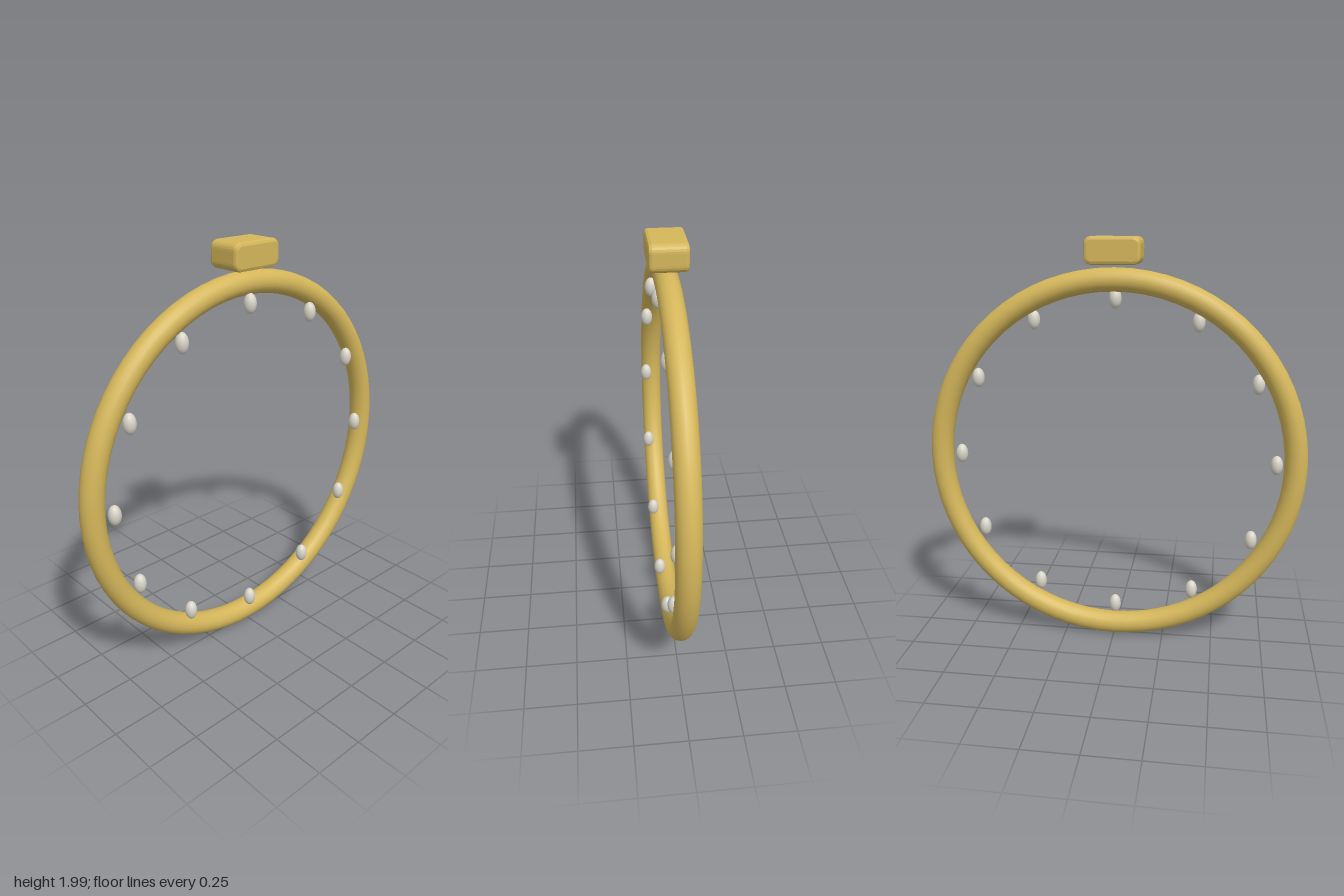
import * as THREE from 'three';

const gold = new THREE.MeshStandardMaterial({ color: 0xd4b65a });
gold.name = 'gold';
const pearl = new THREE.MeshStandardMaterial({ color: 0xd8d4c8 });
pearl.name = 'pearl';

const CENTRE_Y = 0.934;

function add(parent, name, geometry, material) {
  const mesh = new THREE.Mesh(geometry, material);
  mesh.name = name;
  parent.add(mesh);
  return mesh;
}

// Rounded rectangle centred on the origin
function roundedRect(w, h, r) {
  const x = w / 2, y = h / 2;
  const s = new THREE.Shape();
  s.moveTo(-x + r, -y);
  s.lineTo(x - r, -y);
  s.quadraticCurveTo(x, -y, x, -y + r);
  s.lineTo(x, y - r);
  s.quadraticCurveTo(x, y, x - r, y);
  s.lineTo(-x + r, y);
  s.quadraticCurveTo(-x, y, -x, y - r);
  s.lineTo(-x, -y + r);
  s.quadraticCurveTo(-x, -y, -x + r, -y);
  return s;
}

export function createModel() {
  const model = new THREE.Group();
  model.name = 'beadedHoop';

  // Upright hoop
  add(model, 'hoop', new THREE.TorusGeometry(0.873, 0.055, 20, 72), gold)
    .position.y = CENTRE_Y;

  // Twelve upright oval beads along the inner front edge
  const beads = new THREE.Group();
  beads.name = 'beads';
  const beadGeometry = new THREE.SphereGeometry(0.03, 20, 14);
  for (let i = 0; i < 12; i++) {
    const a = (i / 12) * Math.PI * 2;
    const bead = add(beads, 'bead', beadGeometry, pearl);
    bead.scale.y = 1.6;
    bead.position.set(Math.cos(a) * 0.785, CENTRE_Y + Math.sin(a) * 0.785, 0.035);
  }
  model.add(beads);

  // Bevelled block floating just above the hoop
  const bevel = 0.015;
  const depth = 0.143;
  const block = new THREE.ExtrudeGeometry(roundedRect(0.23, 0.095, 0.022), {
    depth, bevelEnabled: true, bevelSize: bevel, bevelThickness: bevel,
    bevelSegments: 2, curveSegments: 6,
  });
  block.translate(0, 0, -depth / 2);
  add(model, 'topBlock', block, gold).position.y = 1.9375;

  return model;
}
